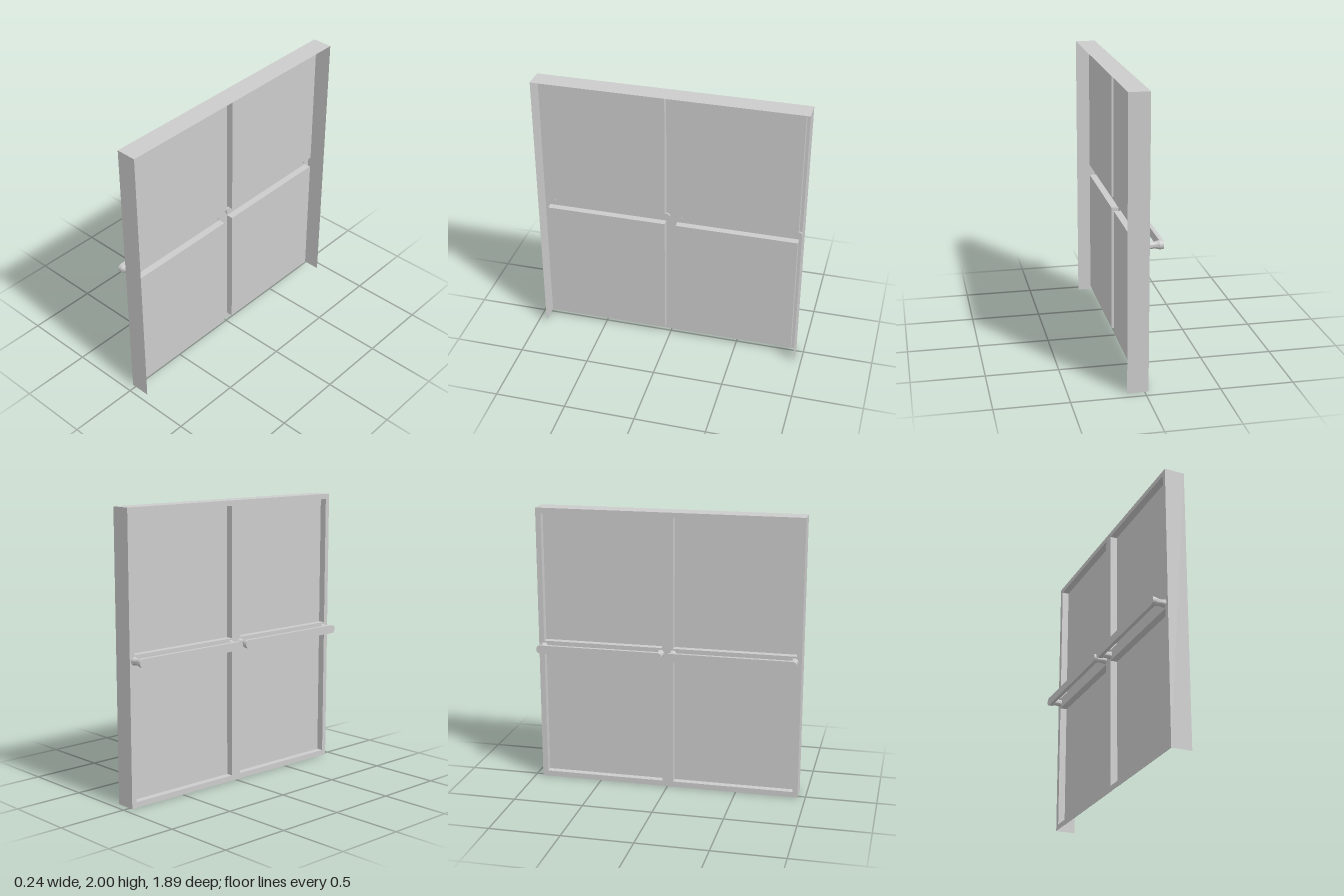
import * as THREE from 'three';
import { toCreasedNormals } from 'three/addons/utils/BufferGeometryUtils.js';

const FACE = -0.026, BACK = 0.117, FLOOR = 0.024; // x of frame face, rim edge, panel floor
const HALF = 0.945, TOP = 2;
const solid = new THREE.MeshStandardMaterial({ color: 0xcccccc });
const thin = new THREE.MeshStandardMaterial({ color: 0xcccccc, side: THREE.DoubleSide });

function add(parent, name, geometry, material = thin) {
  const mesh = new THREE.Mesh(geometry, material);
  mesh.name = name;
  parent.add(mesh);
  return mesh;
}

// Thin sheets, each spanning two axes
const acrossX = (x, z0, z1, y0, y1) =>
  new THREE.PlaneGeometry(z1 - z0, y1 - y0).rotateY(-Math.PI / 2).translate(x, (y0 + y1) / 2, (z0 + z1) / 2);
const acrossY = (y, x0, x1, z0, z1) =>
  new THREE.PlaneGeometry(x1 - x0, z1 - z0).rotateX(-Math.PI / 2).translate((x0 + x1) / 2, y, (z0 + z1) / 2);
const acrossZ = (z, x0, x1, y0, y1) =>
  new THREE.PlaneGeometry(x1 - x0, y1 - y0).translate((x0 + x1) / 2, (y0 + y1) / 2, z);

// Counter-clockwise or clockwise rectangle path
const corners = (a0, a1, b0, b1) => [[a0, b0], [a1, b0], [a1, b1], [a0, b1]].map(p => new THREE.Vector2(...p));

function makeHandle(z0, z1) {
  const handle = new THREE.Group();
  handle.name = 'handle';
  const r = 0.03;

  // Flat grip bar with round ends
  const outline = new THREE.Shape();
  outline.absarc(z1 - r, 1, r, -Math.PI / 2, Math.PI / 2, false);
  outline.absarc(z0 + r, 1, r, Math.PI / 2, Math.PI * 1.5, false);
  const bar = new THREE.ExtrudeGeometry(outline, { depth: 0.026, bevelEnabled: false, curveSegments: 16 });
  add(handle, 'gripBar', toCreasedNormals(bar.rotateY(-Math.PI / 2).translate(-0.095, 0, 0), 0.6), solid);

  // Posts with a narrow waist
  const profile = [[0, -0.012], [0.027, -0.012], [0.028, 0], [0.0245, 0.014], [0.0225, 0.03],
    [0.0235, 0.046], [0.027, 0.06], [0.03, 0.069]].map(p => new THREE.Vector2(...p));
  for (const z of [z0 + r, z1 - r]) {
    const post = toCreasedNormals(new THREE.LatheGeometry(profile, 24).rotateZ(Math.PI / 2), 0.7);
    add(handle, 'post', post, solid).position.set(FACE, 1, z);
  }
  return handle;
}

export function createModel() {
  const model = new THREE.Group();
  model.name = 'doubleDoor';
  const columns = [[-0.907, -0.038], [0.041, 0.91]];
  const rows = [[0.04, 0.96], [1.04, 1.963]];

  // Frame face with four openings
  const face = new THREE.Shape(corners(-HALF, HALF, 0, TOP));
  for (const c of columns) for (const r of rows) face.holes.push(new THREE.Path(corners(...c, ...r)));
  add(model, 'frameFace', new THREE.ShapeGeometry(face).rotateY(-Math.PI / 2).translate(FACE, 0, 0));

  // Rim on the top and both sides, open at the bottom
  add(model, 'topRim', acrossY(TOP, FACE, BACK, -HALF, HALF));
  for (const z of [-HALF, HALF]) add(model, 'sideRim', acrossZ(z, FACE, BACK, 0, TOP));

  // Sunken panels
  for (const c of columns) for (const r of rows) {
    const panel = new THREE.Group();
    panel.name = 'sunkenPanel';
    add(panel, 'panelFloor', acrossX(FLOOR, ...c, ...r));
    for (const y of r) add(panel, 'panelLedge', acrossY(y, FACE, FLOOR, ...c));
    for (const z of c) add(panel, 'panelSide', acrossZ(z, FACE, FLOOR, ...r));
    model.add(panel);
  }

  // One handle per door
  model.add(makeHandle(-0.936, -0.02), makeHandle(0.009, 0.925));
  return model;
}
